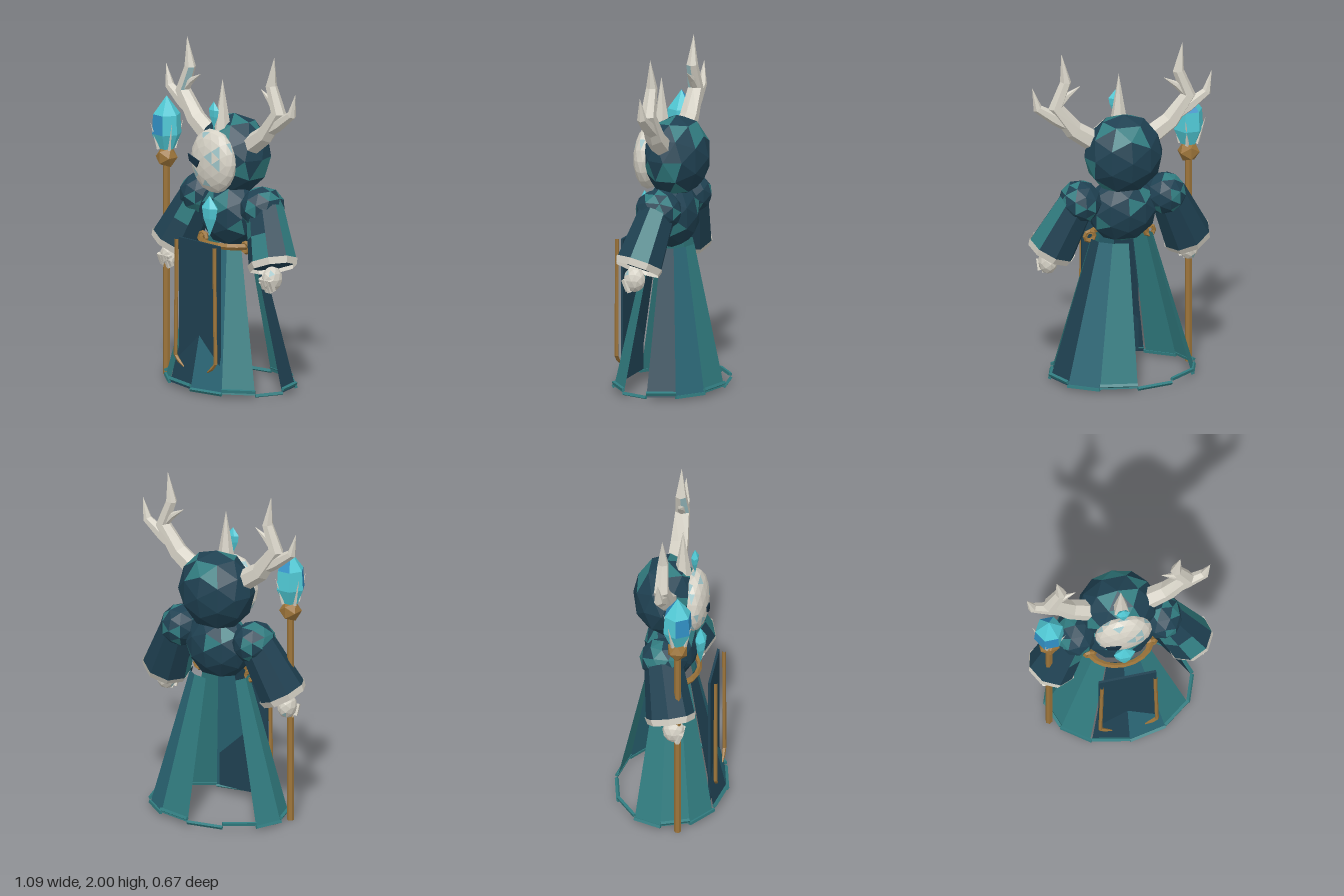
import * as THREE from 'three';

const mat = (name, color, double = false) => {
  const m = new THREE.MeshStandardMaterial({ color, flatShading: true });
  if (double) m.side = THREE.DoubleSide;
  m.name = name;
  return m;
};
const V = (x, y, z) => new THREE.Vector3(x, y, z);

export function createModel() {
  const root = new THREE.Group();
  root.name = 'hornedMage';
  const navy = mat('navyCloth', 0x1f4152, true), teal = mat('tealCloth', 0x317c80, true);
  const deep = mat('deepTealCloth', 0x2a6675, true);
  const bone = mat('bone', 0xd6d2c6, true), pale = mat('paleBlueBone', 0x9cc2c6);
  const cyan = mat('cyanCrystal', 0x50c8d4), blue = mat('blueCrystal', 0x318fc4);
  const gold = mat('bronze', 0x9c743a), dark = mat('eyeDark', 0x152f40);

  let seed = 7;
  const rnd = () => (seed = (seed * 16807) % 2147483647) / 2147483647;
  const chance = c => () => rnd() < c;

  const add = (name, geo, material, x = 0, y = 0, z = 0) => {
    const m = new THREE.Mesh(geo, material);
    m.name = name;
    m.position.set(x, y, z);
    root.add(m);
    return m;
  };
  // Give the second colour to the facets chosen by pick(facetIndex)
  const mottle = (geo, pick, trisPerFacet = 1) => {
    const g = geo.index ? geo.toNonIndexed() : geo;
    g.clearGroups();
    const n = g.attributes.position.count, step = trisPerFacet * 3;
    for (let i = 0; i < n; i += step) g.addGroup(i, Math.min(step, n - i), pick(i / step) ? 1 : 0);
    return g;
  };
  const ball = (name, detail, r, p, mats, share) => {
    const geo = new THREE.IcosahedronGeometry(1, detail).scale(...r);
    return add(name, mottle(geo, chance(share)), mats, ...p);
  };
  // Place a y-aligned geometry so that it runs from a to b
  const between = (mesh, a, b) => {
    mesh.position.copy(a).lerp(b, 0.5);
    mesh.quaternion.setFromUnitVectors(V(0, 1, 0), b.clone().sub(a).normalize());
    return mesh;
  };
  const rod = (name, a, b, r0, r1, sides, material) =>
    between(add(name, new THREE.CylinderGeometry(r1, r0, a.distanceTo(b), sides), material), a, b);
  // Tapered limb along points [x, y, radius] lying in a plane of constant z
  const limb = (pts, sides) => {
    const pos = [], idx = [];
    pts.forEach(([x, y, r], i) => {
      const p = pts[Math.max(i - 1, 0)], q = pts[Math.min(i + 1, pts.length - 1)];
      const len = Math.hypot(q[0] - p[0], q[1] - p[1]);
      const tx = (q[0] - p[0]) / len, ty = (q[1] - p[1]) / len;
      for (let j = 0; j < sides; j++) {
        const a = (j / sides) * Math.PI * 2, c = Math.cos(a) * r;
        pos.push(x - ty * c, y + tx * c, Math.sin(a) * r);
        if (i < pts.length - 1) {
          const k = i * sides, j2 = (j + 1) % sides;
          idx.push(k + j, k + j2, k + sides + j, k + j2, k + sides + j2, k + sides + j);
        }
      }
    });
    const g = new THREE.BufferGeometry();
    g.setAttribute('position', new THREE.Float32BufferAttribute(pos, 3));
    g.setIndex(idx);
    g.computeVertexNormals();
    return g;
  };
  // Six-sided crystal with [radius, height] fractions as its profile
  const gem = (name, r, low, high, p, depth, profile, share) => {
    const prof = profile.map(([x, y]) => new THREE.Vector2(x * r, y * (high - low)));
    const g = new THREE.LatheGeometry(prof, 6).rotateY(Math.PI / 6).scale(1, 1, depth);
    return add(name, mottle(g, chance(share), 2), [cyan, blue], p[0], low, p[1]);
  };
  const drop = [[0, 0], [0.82, 0.45], [1, 0.7], [0, 1]];

  // Skirt: twelve flared panels on an ellipse, three of them left open
  const ring = (i, s, y) => {
    const a = (i * Math.PI) / 6;
    return V(0.43 * s * Math.sin(a), y, 0.32 * s * Math.cos(a));
  };
  const panels = [deep, teal, null, navy, deep, teal, null, null, teal, teal, teal, navy];
  panels.forEach((cloth, i) => {
    const y = i % 2 ? 0.042 : 0.02;
    rod('hem', ring(i, 1.01, y), ring(i + 1, 1.01, y), 0.012, 0.012, 4, teal);
    if (!cloth) return;
    const inset = i === 10 ? 0.06 : 0;
    const edge = (s, h) => [ring(i, s, h), ring(i, s, h).lerp(ring(i + 1, s, h), 1 - inset)];
    const [a, b] = edge(1, 0.02), [c, d] = edge(0.43, 0.85);
    const g = new THREE.BufferGeometry().setFromPoints([a, b, d, a, d, c]);
    g.computeVertexNormals();
    add('skirtPanel', g, cloth);
  });
  // Hanging apron, front belt with looped ends, and cords
  add('apron', new THREE.BoxGeometry(0.34, 0.84, 0.014), navy, 0, 0.465, 0.245);
  const belt = add('belt', new THREE.TorusGeometry(0.185, 0.02, 5, 10, Math.PI), gold, 0, 0.855, 0.02);
  belt.rotation.x = Math.PI / 2;
  belt.scale.y = 0.75;
  for (const s of [-1, 1]) {
    add('beltLoop', new THREE.TorusGeometry(0.028, 0.014, 5, 8), gold, s * 0.18, 0.848, 0.05);
    const path = [[0.158, 0.88, 0.012], [0.158, 0.8, 0.012], [0.167, 0.19, 0.012], [0.14, 0.16, 0.011], [0.098, 0.13, 0.004]];
    add('cord', limb(path.map(([x, y, r]) => [s * x, y, r]), 5), gold, 0, 0, 0.28);
  }

  // Torso and hood
  const cloth = [navy, teal];
  ball('torso', 1, [0.21, 0.2, 0.16], [0, 1.02, 0], cloth, 0.25);
  ball('hood', 1, [0.235, 0.24, 0.198], [0, 1.365, -0.028], cloth, 0.22);
  gem('chestGem', 0.064, 0.905, 1.145, [0, 0.168], 0.55, drop, 0.06);

  // Mask with a single slanted eye
  ball('mask', 2, [0.169, 0.19, 0.082], [0, 1.347, 0.136], [bone, pale], 0.08);
  const eyeShape = new THREE.Shape([[-0.11, 1.345], [-0.05, 1.315], [-0.03, 1.355], [-0.122, 1.385]].map(p => new THREE.Vector2(...p)));
  add('eye', new THREE.ExtrudeGeometry(eyeShape, { depth: 0.009, bevelEnabled: false }), dark, 0, 0, 0.219);

  // Brow horn and gem
  add('browHorn', new THREE.ConeGeometry(0.059, 0.34, 6), bone, 0, 1.655, 0.065);
  gem('browGem', 0.041, 1.54, 1.7, [0, 0.135], 0.55, drop, 0.06);

  // Antlers: a main beam with an outer and an inner tine; the beam's inner face is pale
  const antler = [
    [[0.18, 1.455, 0.062], [0.29, 1.53, 0.057], [0.4, 1.68, 0.046], [0.34, 1.83, 0.034], [0.365, 2, 0.001]],
    [[0.3, 1.555, 0.044], [0.4, 1.61, 0.039], [0.51, 1.685, 0.028], [0.541, 1.81, 0.001]],
    [[0.385, 1.69, 0.027], [0.33, 1.745, 0.02], [0.253, 1.795, 0.001]],
  ];
  for (const s of [-1, 1])
    antler.forEach((pts, k) => {
      const inner = s > 0 ? 12 : 14;
      const geo = limb(pts.map(([x, y, r]) => [s * x, y, r]), 6);
      add('antler', mottle(geo, i => k === 0 && i === inner, 2), [bone, pale]);
    });

  // Arms: shoulder, flared sleeve, cuff and fist
  for (const s of [-1, 1]) {
    ball('shoulder', 1, [0.125, 0.125, 0.14], [s * 0.255, 1.09, -0.01], cloth, 0.25);
    const top = V(s * 0.275, 1.085, -0.01), end = V(s * 0.41, 0.79, 0.055);
    const sleeve = new THREE.CylinderGeometry(0.143, 0.11, top.distanceTo(end), 8, 2);
    const frontFacet = s > 0 ? 15 : 1;
    between(add('sleeve', mottle(sleeve, i => i === frontFacet || rnd() < 0.15, 2), cloth), top, end);
    const dir = end.clone().sub(top).normalize();
    const cuff = new THREE.CylinderGeometry(0.138, 0.149, 0.04, 8, 1, true);
    between(add('cuff', cuff, bone), end.clone().addScaledVector(dir, -0.015), end.clone().addScaledVector(dir, 0.025));
    ball('hand', 1, [0.056, 0.075, 0.065], [s * 0.425, 0.71, 0.075], [bone, pale], 0.08);
    for (let i = 0; i < 4; i++) {
      const x = s * (0.387 + i * 0.026);
      rod('finger', V(x, 0.715, 0.125), V(x, 0.65 - (i % 3 ? 0.015 : 0), 0.1), 0.018, 0.015, 5, bone);
    }
    rod('thumb', V(s * 0.378, 0.735, 0.08), V(s * 0.382, 0.68, 0.125), 0.017, 0.014, 5, bone);
  }

  // Staff with collar, crystal and prongs
  const sx = -0.432, sz = 0.1;
  rod('staffShaft', V(sx, 0, sz), V(sx, 1.27, sz), 0.021, 0.021, 6, gold);
  add('staffCollar', new THREE.IcosahedronGeometry(0.066, 0), gold, sx, 1.29, sz);
  gem('staffCrystal', 0.088, 1.335, 1.655, [sx, sz], 1, [[0, 0], [0.55, 0.02], [1, 0.3], [0.92, 0.66], [0, 1]], 0.2);
  for (let i = 0; i < 4; i++) {
    const a = 0.45 + (i * Math.PI) / 2;
    const at = (r, y) => V(sx - r * Math.sin(a), y, sz + r * Math.cos(a));
    rod('staffProng', at(0.05, 1.34), at(0.098, 1.5), 0.012, 0.001, 4, bone);
  }
  return root;
}
